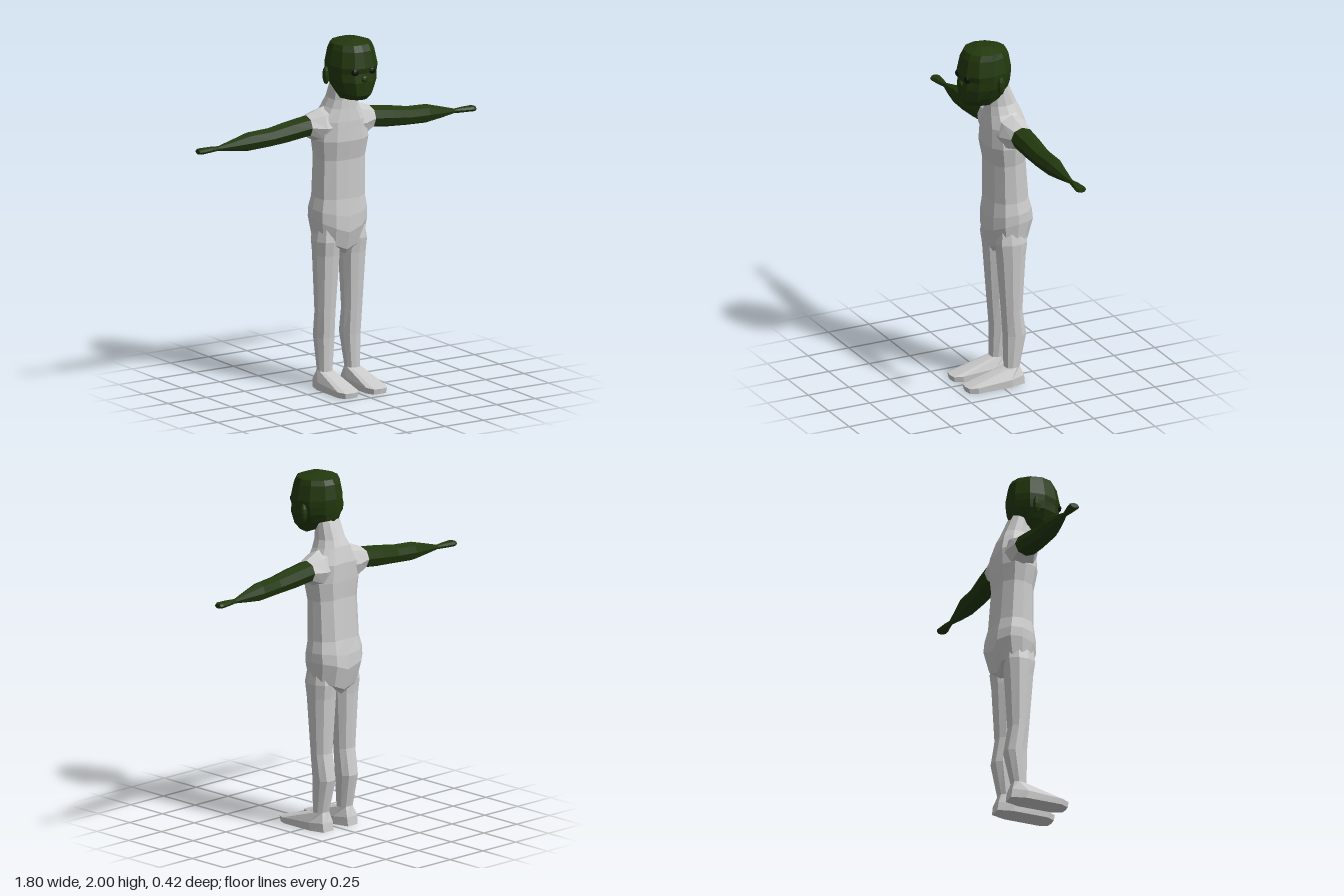
import * as THREE from 'three';

const grey = new THREE.MeshStandardMaterial({ color: 0xcccccc, flatShading: true });
const green = new THREE.MeshStandardMaterial({ color: 0x22380d, flatShading: true });
const dark = new THREE.MeshStandardMaterial({ color: 0x0b1206, flatShading: true });

// Half outlines [across, forward], mirrored into closed cross-sections
const close = half => [...half, ...half.slice(1, -1).reverse().map(([x, z]) => [-x, z])];
const BODY = close([[0, 1], [0.5, 0.96], [0.88, 0.6], [1, 0], [0.92, -0.55], [0.55, -1], [0, -0.92]]);
const LIMB = close([[0, 1], [0.65, 0.88], [1, 0.3], [1, -0.35], [0.62, -0.9], [0, -1]]);
const FOOT = close([[0, 1], [0.65, 0.97], [1, 0.7], [1, -0.5], [0.62, -1], [0, -1]]);
const SKULL = close([[0, 1], [0.42, 0.95], [0.82, 0.62], [1, 0.1], [0.88, -0.45], [0.45, -0.88], [0, -1]]);
const ROUND = close([[0, 1], [0.71, 0.71], [1, 0], [0.71, -0.71], [0, -1]]);

// Horizontal section: front and back height, front and back depth, centre, half width, side lift
function ring(shape, yf, yb, zf, zb, cx, hw, lift = 0) {
  return shape.map(([u, v]) => {
    const t = (v + 1) / 2;
    return [cx + u * hw, yb + (yf - yb) * t + lift * Math.abs(u), zb + (zf - zb) * t];
  });
}

// Section across an arm, facing sideways
const armRing = ([x, y0, y1, z0, z1]) => ROUND.map(([u, v]) =>
  [x, (y0 + y1) / 2 + u * (y1 - y0) / 2, (z0 + z1) / 2 - v * (z1 - z0) / 2]);

// Skin a stack of sections and cap both ends; side -1 mirrors it in x
function loft(name, rings, material, side = 1) {
  if (side < 0) rings = rings.map(r => r.map(([x, y, z]) => [-x, y, z]).reverse());
  const n = rings[0].length, pos = rings.flat(2), idx = [];
  for (let j = 0; j < rings.length - 1; j++) {
    for (let i = 0; i < n; i++) {
      const a = j * n + i, b = j * n + (i + 1) % n;
      idx.push(a, b, b + n, a, b + n, a + n);
    }
  }
  [0, rings.length - 1].forEach((j, end) => {
    const c = pos.length / 3;
    for (let k = 0; k < 3; k++) pos.push(rings[j].reduce((s, p) => s + p[k], 0) / n);
    for (let i = 0; i < n; i++) {
      const a = j * n + i, b = j * n + (i + 1) % n;
      idx.push(...(end ? [c, a, b] : [c, b, a]));
    }
  });
  const indexed = new THREE.BufferGeometry();
  indexed.setAttribute('position', new THREE.Float32BufferAttribute(pos, 3));
  indexed.setIndex(idx);
  const geometry = indexed.toNonIndexed();
  geometry.computeVertexNormals();
  const mesh = new THREE.Mesh(geometry, material);
  mesh.name = name;
  return mesh;
}

// Faceted ellipsoid
function blob(name, size, at, material) {
  const mesh = new THREE.Mesh(new THREE.SphereGeometry(1, 8, 6).scale(...size), material);
  mesh.position.set(...at);
  mesh.name = name;
  return mesh;
}

export function createModel() {
  const model = new THREE.Group();
  model.name = 'figure';

  // Torso and neck, from the crotch up
  model.add(loft('torso', [
    [0.76, 0.77, -0.01, -0.15, 0.08, 0.05],
    [0.79, 0.8, 0.013, -0.175, 0.15, 0.06],
    [0.89, 0.92, 0.037, -0.207, 0.165, 0.06],
    [0.98, 1.0, 0.035, -0.2, 0.165, 0.03],
    [1.08, 1.09, 0.025, -0.182, 0.152, 0],
    [1.3, 1.32, 0.025, -0.165, 0.15, 0],
    [1.41, 1.42, 0.045, -0.172, 0.165, 0],
    [1.52, 1.52, 0.04, -0.172, 0.15, 0],
    [1.59, 1.61, 0.032, -0.147, 0.1, 0],
    [1.64, 1.65, 0.028, -0.128, 0.08, 0],
    [1.72, 1.75, 0.02, -0.085, 0.07, 0],
  ].map(([yf, yb, zf, zb, hw, lift]) => ring(BODY, yf, yb, zf, zb, 0, hw, lift)), grey));

  for (const side of [1, -1]) {
    const label = side > 0 ? 'left' : 'right';

    // Shoulder, bridging the chest and the arm
    model.add(loft(label + 'Shoulder', [
      [0.06, 1.37, 1.61, -0.16, 0.03],
      [0.13, 1.39, 1.588, -0.165, 0.018],
      [0.207, 1.435, 1.557, -0.15, -0.015],
    ].map(armRing), grey, side));

    // Arm, narrowing to the wrist, with a mitten hand
    model.add(loft(label + 'Arm', [
      [0.205, 1.435, 1.557, -0.15, -0.015],
      [0.33, 1.42, 1.54, -0.145, -0.022],
      [0.45, 1.412, 1.518, -0.137, -0.03],
      [0.58, 1.405, 1.51, -0.142, -0.043],
      [0.68, 1.417, 1.482, -0.125, -0.065],
      [0.77, 1.43, 1.456, -0.112, -0.088],
      [0.82, 1.426, 1.46, -0.122, -0.078],
      [0.885, 1.425, 1.459, -0.132, -0.067],
      [0.902, 1.427, 1.455, -0.124, -0.078],
    ].map(armRing), green, side));

    // Leg and foot in one skin, from the sole up
    model.add(loft(label + 'Leg', [
      [FOOT, 0, 0, 0.205, -0.138, 0.093, 0.06],
      [FOOT, 0.03, 0.05, 0.21, -0.132, 0.093, 0.063],
      [LIMB, 0.1, 0.105, -0.035, -0.117, 0.09, 0.042],
      [LIMB, 0.29, 0.29, -0.032, -0.158, 0.085, 0.054],
      [LIMB, 0.44, 0.44, -0.022, -0.132, 0.087, 0.057],
      [LIMB, 0.76, 0.76, 0.003, -0.15, 0.085, 0.072],
      [LIMB, 0.84, 0.84, 0.015, -0.16, 0.088, 0.072],
      [LIMB, 0.96, 0.98, 0, -0.14, 0.085, 0.05],
    ].map(args => ring(...args)), grey, side));

    // Ear and eye
    model.add(blob(label + 'Ear', [0.02, 0.052, 0.022], [side * 0.138, 1.795, 0.012], green));
    model.add(blob(label + 'Eye', [0.024, 0.02, 0.016], [side * 0.055, 1.832, 0.178], dark));
  }

  // Head, with a level chin and the jaw stepping up to the nape
  model.add(loft('head', [
    [1.59, 1.735, 0.165, -0.08, 0.075],
    [1.695, 1.755, 0.188, -0.092, 0.108],
    [1.77, 1.79, 0.193, -0.098, 0.136],
    [1.82, 1.83, 0.186, -0.102, 0.141],
    [1.85, 1.87, 0.194, -0.105, 0.144],
    [1.94, 1.95, 0.176, -0.09, 0.126],
    [1.975, 1.977, 0.157, -0.072, 0.114],
    [2.0, 2.0, 0.09, 0, 0.04],
  ].map(([yf, yb, zf, zb, hw]) => ring(SKULL, yf, yb, zf, zb, 0, hw)
    .map(([x, y, z]) => [x, Math.max(y, 1.668), z])), green));

  // Nose
  model.add(blob('nose', [0.022, 0.02, 0.014], [0, 1.79, 0.188], green));

  return model;
}
